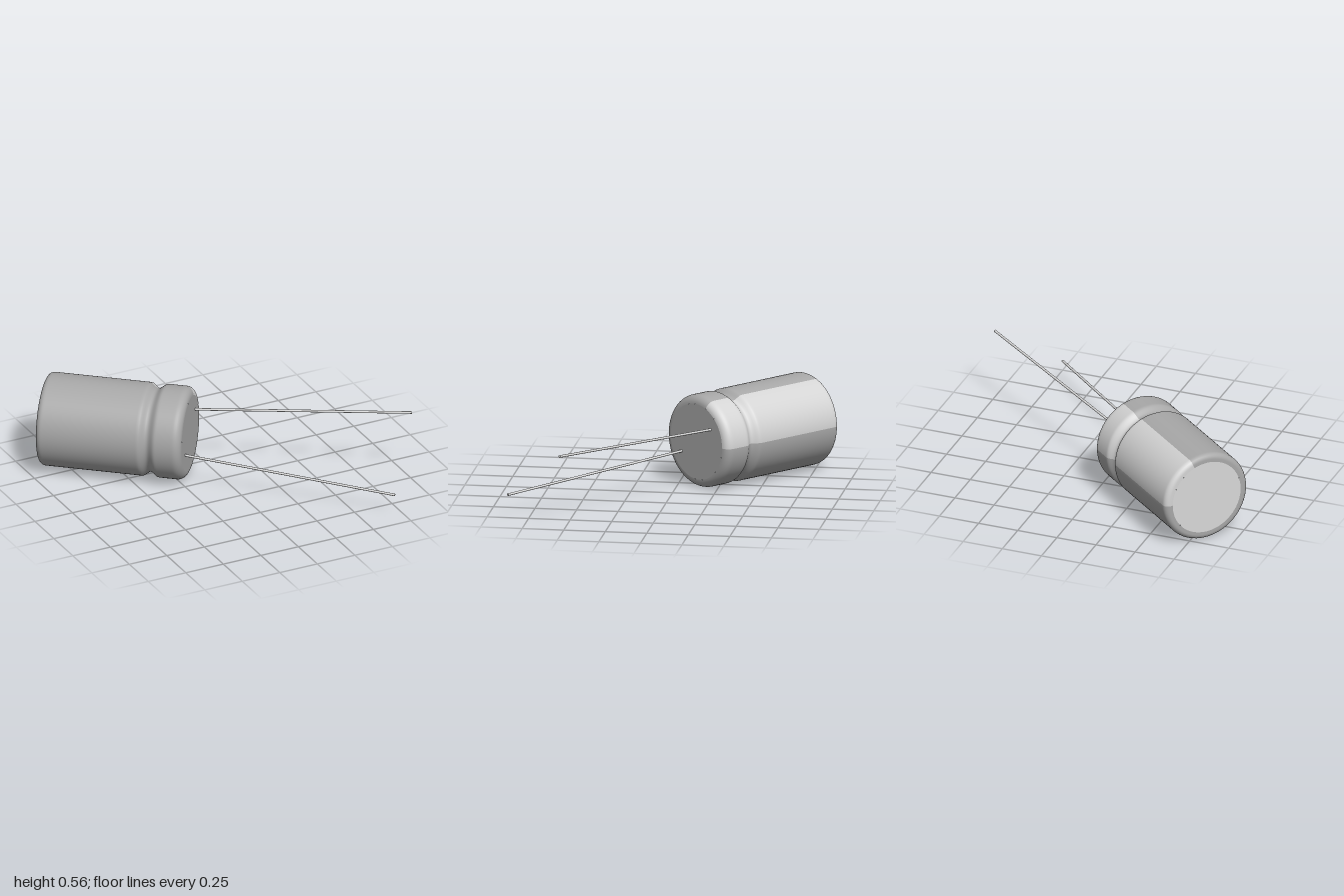
import * as THREE from 'three';

const RADIUS = 0.28;
const LENGTH = 0.884;
const BACK = new THREE.Vector3(-0.834, RADIUS, -0.686);
const AXIS = new THREE.Vector3(0.768, 0, 0.64).normalize();

// Points of a quarter-round edge, in (radius, height)
function arc(cx, cy, r, from, to, steps) {
  const points = [];
  for (let i = 0; i <= steps; i++) {
    const a = from + ((to - from) * i) / steps;
    points.push(new THREE.Vector2(cx + r * Math.cos(a), cy + r * Math.sin(a)));
  }
  return points;
}

// Can outline: back lip and rounded edge, straight wall, crimp groove, rounded front edge
function canProfile() {
  const back = 0.032, front = 0.05, crimp = LENGTH - 0.212, half = 0.055, depth = 0.03;
  const points = [new THREE.Vector2(0.23, 0)];
  points.push(...arc(RADIUS - back, back, back, -Math.PI / 2, 0, 6));
  points.push(new THREE.Vector2(RADIUS, back + 0.01), new THREE.Vector2(RADIUS, crimp - half - 0.01));
  for (let i = 0; i <= 12; i++) {
    const t = (i / 12) * 2 - 1;
    points.push(new THREE.Vector2(RADIUS - depth * (0.5 + 0.5 * Math.cos(Math.PI * t)), crimp + half * t));
  }
  points.push(new THREE.Vector2(RADIUS, crimp + half + 0.01), new THREE.Vector2(RADIUS, LENGTH - front - 0.01));
  points.push(...arc(RADIUS - front, LENGTH - front, front, 0, Math.PI / 2, 8));
  return points;
}

export function createModel() {
  const sleeve = new THREE.MeshStandardMaterial({ name: 'sleeveGrey', color: 0xa8a8a8 });
  const pale = new THREE.MeshStandardMaterial({ name: 'stripeGrey', color: 0xd4d4d4 });
  const metal = new THREE.MeshStandardMaterial({ name: 'bareMetal', color: 0xd9d9d9 });

  const model = new THREE.Group();
  model.name = 'capacitor';
  const add = (parent, name, geometry, material) => {
    const mesh = new THREE.Mesh(geometry, material);
    mesh.name = name;
    parent.add(mesh);
    return mesh;
  };

  // Can, built along local y and laid along the axis; local -z points up
  const can = new THREE.Group();
  can.name = 'can';
  const side = new THREE.Vector3(AXIS.z, 0, -AXIS.x);
  can.quaternion.setFromRotationMatrix(
    new THREE.Matrix4().makeBasis(side, AXIS, new THREE.Vector3(0, -1, 0)));
  can.position.copy(BACK);
  model.add(can);

  // Polarity stripe runs from the rear side most of the way to the top; the sleeve is the rest
  const profile = canProfile();
  const stripeStart = Math.PI / 2;
  const stripeAngle = THREE.MathUtils.degToRad(69);
  add(can, 'polarityStripe', new THREE.LatheGeometry(profile, 16, stripeStart, stripeAngle), pale);
  add(can, 'sleeve',
    new THREE.LatheGeometry(profile, 60, stripeStart + stripeAngle, Math.PI * 2 - stripeAngle), sleeve);

  // Bare metal back end and sealed front end
  const backEnd = add(can, 'backEnd', new THREE.CircleGeometry(profile[0].x, 72), metal);
  backEnd.rotation.x = Math.PI / 2;
  const frontEnd = add(can, 'frontEnd', new THREE.CircleGeometry(profile[profile.length - 1].x, 72), sleeve);
  frontEnd.rotation.x = -Math.PI / 2;
  frontEnd.position.y = LENGTH;

  // Two splayed wire leads, each starting just inside the front end
  const leads = [
    ['upperLead', new THREE.Vector3(-0.08, 0.377, -0.222), new THREE.Vector3(0.996, 0.449, 0.526)],
    ['lowerLead', new THREE.Vector3(-0.24, 0.199, -0.02), new THREE.Vector3(0.703, 0.129, 0.882)],
  ];
  for (const [name, start, end] of leads) {
    const span = end.clone().sub(start);
    const lead = add(model, name, new THREE.CylinderGeometry(0.0075, 0.0075, span.length() + 0.02, 16), metal);
    span.normalize();
    lead.quaternion.setFromUnitVectors(new THREE.Vector3(0, 1, 0), span);
    lead.position.copy(start).add(end).multiplyScalar(0.5).addScaledVector(span, -0.01);
  }
  return model;
}
